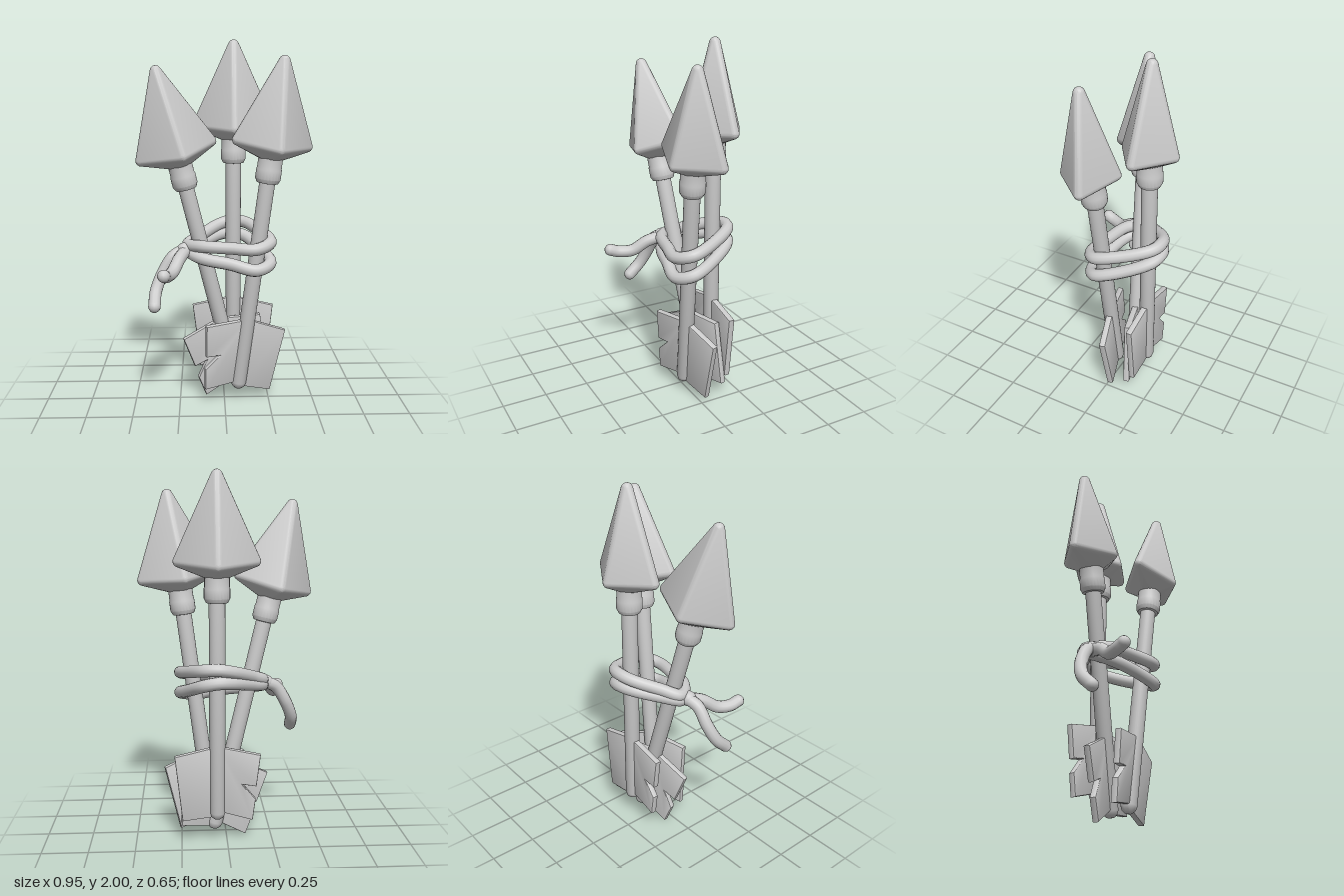
import * as THREE from 'three';
import { toCreasedNormals } from 'three/addons/utils/BufferGeometryUtils.js';
import { ConvexGeometry } from 'three/addons/geometries/ConvexGeometry.js';

const material = new THREE.MeshStandardMaterial({ color: 0xcccccc });
const V = (x, y, z) => new THREE.Vector3(x, y, z);

function add(parent, name, geometry) {
  const mesh = new THREE.Mesh(geometry, material);
  mesh.name = name;
  parent.add(mesh);
  return mesh;
}

// Four-sided point with rounded corners: hull of small spheres
function headGeometry() {
  const r = 0.03;
  const corners = [
    V(0, 1.83, 0),
    V(0.197, 1.4, 0), V(-0.197, 1.4, 0),
    V(0, 1.38, 0.127), V(0, 1.38, -0.127),
  ];
  const ball = new THREE.IcosahedronGeometry(r, 2).getAttribute('position');
  const points = [];
  for (const c of corners) {
    for (let i = 0; i < ball.count; i++) {
      points.push(new THREE.Vector3().fromBufferAttribute(ball, i).add(c));
    }
  }
  for (let i = 0; i < 12; i++) {
    const a = (i / 12) * Math.PI * 2;
    points.push(V(0.05 * Math.cos(a), 1.31, 0.05 * Math.sin(a)));
  }
  return toCreasedNormals(new ConvexGeometry(points), 0.4);
}

function lathe(profile, crease = 0.5) {
  const pts = profile.map(([x, y]) => new THREE.Vector2(x, y));
  return toCreasedNormals(new THREE.LatheGeometry(pts, 24), crease);
}

// Flat vane on the +x or -x side, with slightly bevelled edges
function finGeometry(outline) {
  const shape = new THREE.Shape(outline.map(([x, y]) => new THREE.Vector2(x, y)));
  const b = 0.007;
  const geo = new THREE.ExtrudeGeometry(shape, {
    depth: 0.022, bevelThickness: b, bevelSize: b, bevelOffset: -b, bevelSegments: 2,
  });
  geo.translate(0, 0, -0.011);
  return toCreasedNormals(geo, 0.6);
}

const plainFin = [[0, 0.02], [0.19, -0.005], [0.23, 0.36], [0, 0.415]];
const notchedFin = [
  [0, 0.415], [-0.234, 0.365], [-0.212, 0.187], [-0.137, 0.2],
  [-0.208, 0.115], [-0.192, -0.005], [0, 0.05],
];

// One arrow along +y from its rounded butt, then aimed and spun
function makeArrow(name, butt, tip, spin) {
  const arrow = new THREE.Group();
  arrow.name = name;
  add(arrow, 'shaft', lathe([
    [0, 0], [0.02, 0.004], [0.036, 0.018], [0.043, 0.04], [0.043, 1.25],
  ], 0.7));
  add(arrow, 'collar', lathe([
    [0.04, 1.185], [0.058, 1.188], [0.069, 1.21], [0.069, 1.26], [0.066, 1.27], [0.066, 1.335], [0, 1.335],
  ]));
  add(arrow, 'head', headGeometry());
  add(arrow, 'plainFin', finGeometry(plainFin));
  add(arrow, 'notchedFin', finGeometry(notchedFin));
  const dir = tip.clone().sub(butt).normalize();
  arrow.quaternion.setFromUnitVectors(V(0, 1, 0), dir);
  arrow.rotateY(spin);
  arrow.position.copy(butt);
  return arrow;
}

// Rope run along a smooth path, with rounded ends when open
function addRope(parent, name, path, closed) {
  const pts = path.map((p) => V(...p));
  const curve = new THREE.CatmullRomCurve3(pts, closed, 'centripetal');
  const r = 0.034;
  add(parent, name, new THREE.TubeGeometry(curve, closed ? 96 : 32, r, 12, closed));
  if (closed) return;
  for (const p of [pts[0], pts[pts.length - 1]]) {
    add(parent, name + 'End', new THREE.SphereGeometry(r, 12, 8)).position.copy(p);
  }
}

export function createModel() {
  const model = new THREE.Group();
  model.name = 'arrowBundle';

  // Arrows
  model.add(makeArrow('backArrow', V(0.055, 0.14, -0.165), V(0.055, 2, -0.165), 0));
  model.add(makeArrow('rightArrow', V(0.075, 0.055, -0.09), V(-0.365, 1.85, 0.055), 0.25));
  model.add(makeArrow('leftArrow', V(0.075, 0.065, 0.02), V(0.315, 1.915, 0.08), 0.26));

  // Two turns of rope round the shafts: x, z, upper y, lower y
  const rope = new THREE.Group();
  rope.name = 'rope';
  model.add(rope);
  const turns = [
    [-0.2, -0.03, 0.89, 0.86], [-0.13, 0.055, 0.895, 0.83], [0.03, 0.1, 0.893, 0.805],
    [0.17, 0.122, 0.89, 0.775], [0.248, 0.06, 0.915, 0.8], [0.2, -0.1, 0.95, 0.85],
    [0.12, -0.222, 0.98, 0.9], [0.05, -0.24, 0.985, 0.915], [-0.02, -0.215, 0.97, 0.91],
    [-0.13, -0.11, 0.925, 0.88],
  ];
  addRope(rope, 'upperTurn', turns.map(([x, z, y]) => [x, y, z]), true);
  addRope(rope, 'lowerTurn', turns.map(([x, z, , y]) => [x, y, z]), true);

  // Knot and loose tails
  const knot = add(rope, 'knot', new THREE.SphereGeometry(0.042, 16, 12));
  knot.position.set(-0.22, 0.865, 0.01);
  addRope(rope, 'forwardTail', [
    [-0.21, 0.865, 0], [-0.245, 0.835, 0.09], [-0.28, 0.78, 0.17], [-0.31, 0.775, 0.24], [-0.32, 0.79, 0.29],
  ], false);
  addRope(rope, 'hangingTail', [
    [-0.21, 0.87, 0], [-0.28, 0.835, 0.025], [-0.34, 0.74, 0.04], [-0.375, 0.65, 0.08], [-0.38, 0.585, 0.145],
  ], false);

  return model;
}
